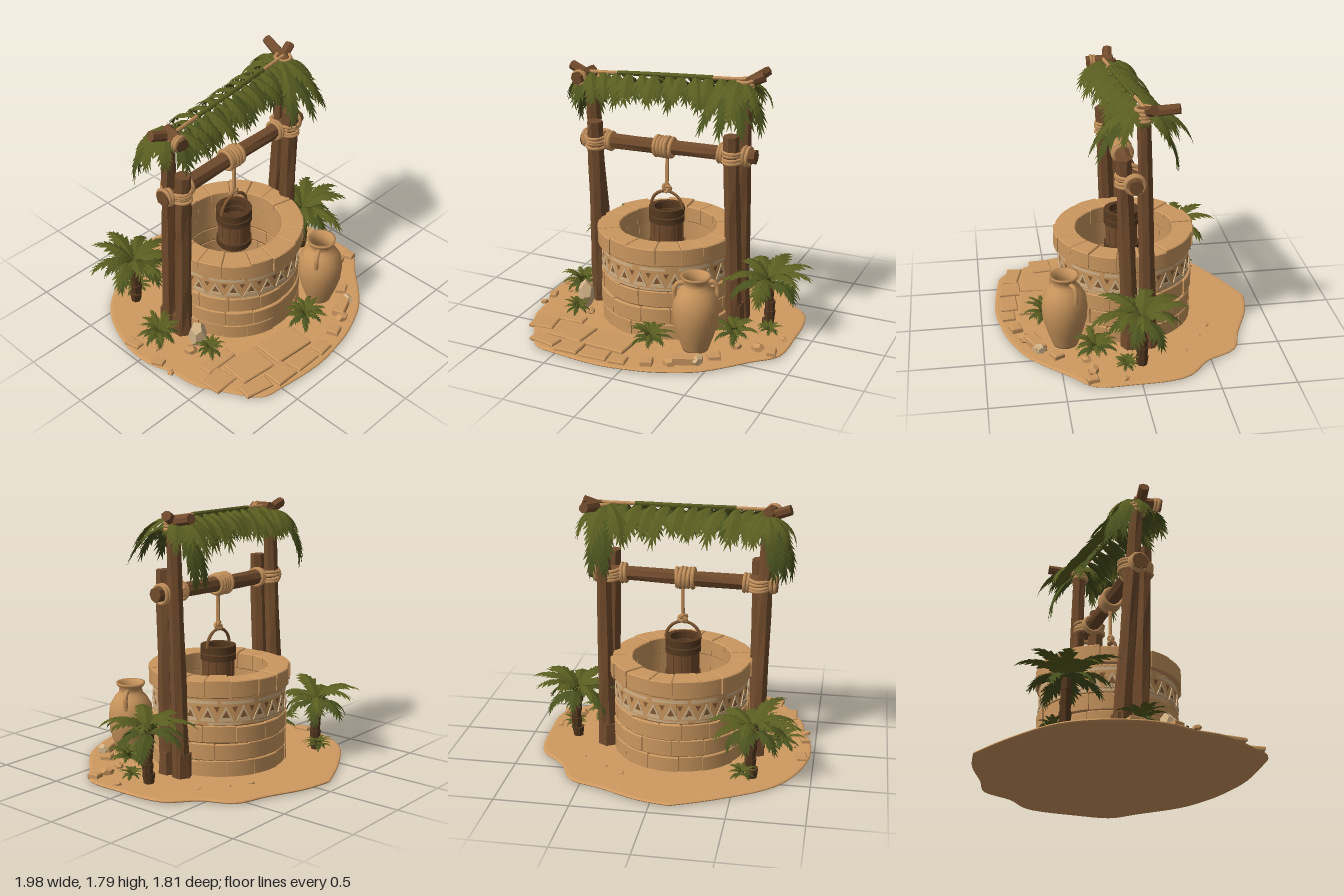
import * as THREE from 'three';
import { toCreasedNormals, mergeGeometries } from 'three/addons/utils/BufferGeometryUtils.js';

const mat = (name, color, side = THREE.FrontSide) => {
  const m = new THREE.MeshStandardMaterial({ color, side });
  m.name = name;
  return m;
};
const M = {
  sand: mat('sand', 0xd09a60), stone: mat('sandstone', 0xcb975f), pale: mat('pale stone', 0xd2b286),
  wood: mat('wood', 0x714b2c), dark: mat('dark wood', 0x54381f), rope: mat('rope', 0xc3905b),
  leaf: mat('leaf', 0x595d20, THREE.DoubleSide), deep: mat('deep leaf', 0x49521e, THREE.DoubleSide),
  clay: mat('clay', 0xc8945c), earth: mat('shaded stone', 0x845a34),
};
const V = (x, y, z) => new THREE.Vector3(x, y, z);
let seed = 7;
const rnd = (a = 0, b = 1) => {
  seed = (seed * 16807) % 2147483647;
  return a + (b - a) * seed / 2147483647;
};
const group = (parent, name, x = 0, y = 0, z = 0) => {
  const g = new THREE.Group();
  g.name = name;
  g.position.set(x, y, z);
  parent.add(g);
  return g;
};
const add = (parent, name, geo, m, x = 0, y = 0, z = 0) => {
  const mesh = new THREE.Mesh(geo, m);
  mesh.name = name;
  mesh.position.set(x, y, z);
  parent.add(mesh);
  return mesh;
};
const flat = g => {
  const f = g.toNonIndexed();
  f.computeVertexNormals();
  return f;
};

// Rough tapered log from a to b
function log(parent, name, a, b, ra, rb, m = M.wood, sides = 7) {
  const len = a.distanceTo(b), geo = new THREE.CylinderGeometry(rb, ra, len, sides, 5), p = geo.attributes.position;
  for (let i = 0; i < p.count; i++) {
    const x = p.getX(i), y = p.getY(i), z = p.getZ(i);
    const s = 1 + 0.06 * Math.sin(3 * Math.atan2(z, x) + y * 8 + a.x * 5);
    p.setXYZ(i, x * s, y, z * s);
  }
  const mesh = add(parent, name, flat(geo), m);
  mesh.position.copy(a).lerp(b, 0.5);
  mesh.quaternion.setFromUnitVectors(V(0, 1, 0), b.clone().sub(a).normalize());
}

// Bevelled curved block between two radii
function arcBlock(r0, r1, y0, y1, a0, a1, b) {
  const s = new THREE.Shape();
  s.absarc(0, 0, r1, a0, a1, false);
  s.absarc(0, 0, r0, a1, a0, true);
  const g = new THREE.ExtrudeGeometry(s, { depth: y1 - y0 - 2 * b, bevelThickness: b, bevelSize: b, bevelOffset: -b, bevelSegments: 1, curveSegments: 5 });
  return toCreasedNormals(g.rotateX(-Math.PI / 2).translate(0, y0 + b, 0), 0.4);
}
function course(parent, name, n, r0, r1, y0, y1, shift, m, jitter = 0.007, gap = 0.003, b = 0.006) {
  const cuts = Array.from({ length: n }, (_, i) => (i + shift + rnd(-0.15, 0.15)) * Math.PI * 2 / n);
  cuts.push(cuts[0] + Math.PI * 2);
  for (let i = 0; i < n; i++)
    add(parent, name, arcBlock(r0, r1 + rnd(-jitter, jitter), y0, y1 + rnd(-jitter, 0), cuts[i] + gap, cuts[i + 1] - gap, b), m);
}

// Serrated arching leaf: the spine starts at elevation rise and bends down
function frond(x, y, z, yaw, L, W, rise, bend, n = 9) {
  const dir = V(Math.cos(yaw), 0, Math.sin(yaw)), side = V(-Math.sin(yaw), 0, Math.cos(yaw));
  const spine = [V(x, y, z)], pos = [];
  for (let i = 0; i < n; i++) {
    const e = rise - bend * (i + 0.5) / n;
    spine.push(spine[i].clone().addScaledVector(dir, Math.cos(e) * L / n).add(V(0, Math.sin(e) * L / n, 0)));
  }
  for (let i = 0; i < n; i++) for (const s of [-1, 1]) {
    const w = W * (0.2 + Math.sin(Math.PI * Math.pow((i + 0.5) / n, 0.75))) * rnd(0.75, 1.2);
    const p0 = spine[i], p1 = spine[i + 1], step = p1.clone().sub(p0);
    const tip = p1.clone().addScaledVector(step, 0.9).addScaledVector(side, s * w).add(V(0, -0.4 * w, 0));
    const notch = p0.clone().addScaledVector(step, 0.35).addScaledVector(side, s * w * 0.62).add(V(0, -0.22 * w, 0));
    const tris = s > 0 ? [p0, tip, p1, p0, notch, tip] : [p0, p1, tip, p0, tip, notch];
    tris.forEach(v => pos.push(v.x, v.y, v.z));
  }
  const g = new THREE.BufferGeometry();
  g.setAttribute('position', new THREE.Float32BufferAttribute(pos, 3));
  g.computeVertexNormals();
  return g;
}
// Plant: an upper and a lower ring of leaves, with an optional trunk
function plant(parent, name, x, z, y, n, L, W, rise, trunk) {
  const g = group(parent, name, x, 0, z);
  if (trunk) for (let i = 0; i < 5; i++)
    add(g, 'trunkSegment', flat(new THREE.CylinderGeometry(0.044 - i * 0.003, 0.032, y / 5 + 0.012, 7)), M.dark, 0.012 * Math.sin(i), (i + 0.5) * y / 5 + 0.01, 0);
  [[n, M.leaf, 0], [Math.ceil(n * 0.6), M.deep, 1]].forEach(([k, m, j]) => {
    const leaves = [];
    for (let i = 0; i < k; i++)
      leaves.push(frond(0, y, 0, (i + j * 0.5 + rnd(-0.2, 0.2)) * Math.PI * 2 / k, L * rnd(0.88, 1.08) * (j ? 0.8 : 1), W, rise - j * 0.55 + rnd(-0.2, 0.2), rnd(1.5, 1.95)));
    add(g, 'leaves', mergeGeometries(leaves), m);
  });
}

// Coils of rope round an axis
function coils(parent, name, x, y, z, r, n, axis, tube = 0.013, stretch = 1) {
  const g = group(parent, name, x, y, z);
  for (let i = 0; i < n; i++) {
    const c = add(g, 'coil', new THREE.TorusGeometry(r + rnd(-0.003, 0.004), tube, 6, 18), M.rope, 0, 0, (i - (n - 1) / 2) * tube * 1.8);
    c.rotation.set(rnd(-0.07, 0.07), rnd(-0.07, 0.07), 0);
  }
  g.scale.y = stretch;
  if (axis === 'x') g.rotation.y = Math.PI / 2;
  if (axis === 'y') g.rotation.x = Math.PI / 2;
}
function rock(parent, name, x, z, w, h, d, m = M.stone) {
  const r = add(parent, name, new THREE.DodecahedronGeometry(1, 0), m, x, h * 0.5 + 0.005, z);
  r.scale.set(w, h * 0.5, d);
  r.rotation.y = rnd(0, 6);
}

export function createModel() {
  const root = new THREE.Group();
  root.name = 'desertWell';

  // Ground
  const outline = [[-0.13, -0.91], [0.09, -0.87], [0.35, -0.76], [0.57, -0.68], [0.68, -0.48], [0.83, -0.34], [0.88, -0.19], [0.89, 0.03], [0.88, 0.3], [0.73, 0.46], [0.49, 0.7], [0.25, 0.82], [0.06, 0.87], [-0.18, 0.9], [-0.5, 0.87], [-0.66, 0.83], [-0.77, 0.67], [-0.89, 0.45], [-0.92, 0.24], [-0.97, 0.08], [-0.97, -0.13], [-0.88, -0.4], [-0.72, -0.6], [-0.4, -0.79], [-0.13, -0.91]];
  const land = flip => new THREE.Shape(new THREE.SplineCurve(outline.map(([x, z]) => new THREE.Vector2(x, flip * z))).getPoints(96).slice(0, -1));
  const ground = new THREE.ExtrudeGeometry(land(-1), { depth: 0.004, bevelThickness: 0.008, bevelSize: 0.02, bevelOffset: -0.02, bevelSegments: 2 });
  add(root, 'ground', ground.rotateX(-Math.PI / 2), M.sand, 0, 0.009, 0);
  add(root, 'underside', new THREE.ShapeGeometry(land(1)).rotateX(Math.PI / 2), M.sand);

  // Paving slabs: x, z, width, depth, turn, thickness
  const paving = group(root, 'paving');
  for (const [x, z, w, d, t, h] of [[-0.76, 0.53, 0.18, 0.17, 0.1, 0.014], [-0.52, 0.58, 0.28, 0.23, -0.1, 0.016], [-0.21, 0.61, 0.32, 0.23, -0.08, 0.022], [-0.63, 0.75, 0.22, 0.12, -0.2, 0.016], [-0.43, 0.78, 0.18, 0.16, 0, 0.02], [-0.23, 0.8, 0.2, 0.13, 0.05, 0.016], [-0.64, 0.4, 0.26, 0.1, 0, 0.014], [0.35, 0.65, 0.2, 0.09, 0.4, 0.05], [0.13, 0.77, 0.1, 0.09, 0.3, 0.035], [0.5, 0.52, 0.1, 0.08, 0.5, 0.03], [0.82, 0.32, 0.07, 0.09, 0.2, 0.03], [-0.92, -0.13, 0.08, 0.12, 0.1, 0.02], [-0.92, 0.13, 0.07, 0.09, 0.3, 0.025], [-0.05, 0.81, 0.12, 0.1, 0.1, 0.02]]) {
    const c = [[-1, -1], [1, -1], [1, 1], [-1, 1]].map(([i, j]) => new THREE.Vector2(i * (w / 2 - rnd(0, 0.012)), j * (d / 2 - rnd(0, 0.012))));
    const g = new THREE.ExtrudeGeometry(new THREE.Shape(c), { depth: h, bevelThickness: 0.007, bevelSize: 0.007, bevelOffset: -0.007, bevelSegments: 1 });
    add(paving, 'slab', g.rotateX(-Math.PI / 2), M.stone, x, 0.015, z).rotation.y = t;
  }
  const rocks = group(root, 'rocks');
  rock(rocks, 'paleRock', -0.62, 0.19, 0.065, 0.23, 0.06, M.pale);
  rock(rocks, 'paleRock', 0.43, 0.63, 0.05, 0.08, 0.035, M.pale);
  for (const [x, z, s] of [[-0.7, 0.2, 0.05], [-0.55, 0.26, 0.04], [0.58, 0.33, 0.04], [0.72, 0.3, 0.05], [0.27, 0.72, 0.05], [0.83, 0.1, 0.03], [-0.93, 0.25, 0.03], [0.25, -0.55, 0.025], [0.38, -0.47, 0.02], [0.17, -0.53, 0.015], [0.42, -0.56, 0.015], [0.55, -0.35, 0.02], [-0.85, 0.02, 0.025]])
    rock(rocks, 'pebble', x, z, s, s * 1.3, s * 0.8);

  // Well ring, built in courses
  const well = group(root, 'well', -0.07, 0, -0.015);
  course(well, 'footStone', 15, 0.35, 0.462, 0.01, 0.13, 0, M.stone);
  course(well, 'wallStone', 14, 0.35, 0.465, 0.13, 0.25, 0.5, M.stone);
  course(well, 'wallStone', 15, 0.35, 0.465, 0.25, 0.37, 0.2, M.stone);
  course(well, 'friezeStone', 12, 0.35, 0.456, 0.37, 0.56, 0.1, M.stone, 0, 0.001, 0.003);
  course(well, 'rimStone', 17, 0.335, 0.483, 0.56, 0.685, 0.3, M.stone, 0.009);
  const core = [[0.355, 0.02], [0.45, 0.02], [0.45, 0.65], [0.355, 0.65], [0.355, 0.02]].map(p => new THREE.Vector2(...p));
  add(well, 'mortar', new THREE.LatheGeometry(core, 40), M.earth);
  add(well, 'wellFloor', new THREE.CircleGeometry(0.36, 32).rotateX(-Math.PI / 2), M.earth, 0, 0.1, 0);
  add(well, 'moss', new THREE.CircleGeometry(0.35, 12, 3.6, 1.1).rotateX(-Math.PI / 2), M.leaf, 0, 0.105, 0);

  // Worn painted frieze: broken stripes and hollow triangles
  for (const [y, h, n] of [[0.384, 0.014, 9], [0.528, 0.022, 11]]) for (let i = 0; i < n; i++)
    add(well, 'friezeStripe', new THREE.CylinderGeometry(0.46, 0.46, h, 8, 1, true, i * Math.PI * 2 / n, Math.PI * 2 / n * rnd(0.65, 0.98)), M.pale, 0, y, 0);
  const tri = k => [[-0.052 * k, -0.05 * k], [0.052 * k, -0.05 * k], [0, 0.054 * k]].map(p => new THREE.Vector2(...p));
  const frame = new THREE.Shape(tri(1));
  frame.holes.push(new THREE.Path(tri(0.5).reverse()));
  const frameGeo = new THREE.ExtrudeGeometry(frame, { depth: 0.008, bevelEnabled: false });
  const fillGeo = new THREE.ShapeGeometry(new THREE.Shape(tri(0.52)));
  const wedgeGeo = new THREE.ShapeGeometry(new THREE.Shape(tri(0.38)));
  for (let i = 0; i < 24; i++) {
    const t = group(well, 'friezeTriangle', 0, 0.45, 0);
    t.rotation.y = i * Math.PI / 12;
    add(t, 'triangleFrame', frameGeo, M.pale, 0, 0, 0.454);
    add(t, 'triangleCentre', fillGeo, M.earth, 0, 0, 0.458);
    const d = group(well, 'friezeWedge', 0, 0.48, 0);
    d.rotation.y = (i + 0.5) * Math.PI / 12;
    add(d, 'wedge', wedgeGeo, M.earth, 0, 0, 0.459).rotation.z = Math.PI;
  }

  // Posts, beam and end logs
  const timber = group(root, 'timberFrame');
  log(timber, 'leftShortPost', V(-0.595, 0.01, 0.015), V(-0.585, 1.37, 0.06), 0.058, 0.054);
  log(timber, 'leftTallPost', V(-0.6, 0.01, -0.11), V(-0.64, 1.7, 0), 0.06, 0.045);
  log(timber, 'rightShortPost', V(0.435, 0.01, 0.01), V(0.41, 1.39, 0.055), 0.06, 0.054);
  log(timber, 'rightTallPost', V(0.44, 0.01, -0.11), V(0.455, 1.74, -0.065), 0.06, 0.045);
  for (const x of [-0.595, 0.435]) for (const z of [0.01, -0.11])
    log(timber, 'postFoot', V(x, 0.01, z), V(x, 0.18, z), 0.07, 0.064, M.wood, 6);
  log(timber, 'crossBeam', V(-0.71, 1.215, -0.005), V(0.565, 1.25, -0.005), 0.056, 0.048, M.wood, 8);
  log(timber, 'leftTopLog', V(-0.665, 1.68, 0.16), V(-0.63, 1.7, -0.02), 0.045, 0.04);
  log(timber, 'leftTopStub', V(-0.78, 1.73, 0.0), V(-0.6, 1.66, 0.02), 0.035, 0.035);
  log(timber, 'rightTopLog', V(0.46, 1.71, -0.03), V(0.53, 1.755, -0.28), 0.038, 0.034);
  log(timber, 'rightTopStub', V(0.4, 1.69, -0.06), V(0.57, 1.765, -0.11), 0.033, 0.035);

  // Lashings
  for (const [x, y] of [[-0.59, 1.22], [0.415, 1.245]]) {
    coils(root, 'postLashing', x, y, 0, 0.07, 4, 'y', 0.012, 1.45);
    for (const s of [-1, 1]) coils(root, 'beamLashing', x + s * 0.088, y, -0.005, 0.058, 2, 'x');
  }
  coils(root, 'beamCoil', -0.09, 1.232, -0.005, 0.064, 5, 'x', 0.015);
  coils(root, 'leftTopLashing', -0.66, 1.68, 0.12, 0.045, 2, 'z', 0.011);
  coils(root, 'leftTopLashing', -0.63, 1.64, 0, 0.052, 3, 'y');
  coils(root, 'rightTopLashing', 0.455, 1.7, -0.065, 0.052, 4, 'y');

  // Bucket on its rope
  const bucket = group(root, 'bucket', -0.075, 0, 0);
  course(bucket, 'stave', 12, 0.088, 0.112, 0.5, 0.8, 0, M.wood, 0.002, 0.012, 0.004);
  add(bucket, 'bucketBase', new THREE.CylinderGeometry(0.1, 0.095, 0.03, 16), M.dark, 0, 0.52, 0);
  for (const [y, h] of [[0.54, 0.04], [0.73, 0.04], [0.785, 0.05]]) {
    const band = [[0.086, -1], [0.123, -1], [0.123, 1], [0.086, 1], [0.086, -1]].map(([r, s]) => new THREE.Vector2(r, y + s * h / 2));
    add(bucket, 'bucketBand', toCreasedNormals(new THREE.LatheGeometry(band, 20), 0.6), M.dark);
  }
  add(bucket, 'handle', new THREE.TorusGeometry(0.118, 0.011, 6, 20, Math.PI), M.earth, 0, 0.8, 0);
  log(bucket, 'hangingRope', V(0, 0.92, 0), V(0.005, 1.19, 0), 0.013, 0.013, M.rope);
  add(bucket, 'ropeKnot', new THREE.TorusKnotGeometry(0.02, 0.011, 32, 6), M.rope, 0, 0.94, 0);

  // Leaf canopy along the ridge
  const a = V(-0.64, 1.71, 0.05), b = V(0.46, 1.745, -0.065), canopy = group(root, 'canopy');
  log(canopy, 'ridgeRope', a, b, 0.012, 0.012, M.rope);
  log(canopy, 'ridgeStem', a.clone().lerp(b, 0.2), a.clone().lerp(b, 0.8), 0.016, 0.016, M.leaf);
  const upper = [], lower = [];
  for (let i = 0; i < 12; i++) {
    const p = a.clone().lerp(b, (i + 0.3) / 12);
    for (const s of [-1, 1]) {
      upper.push(frond(p.x, p.y, p.z, s * (Math.PI / 2 - 0.35) + rnd(-0.25, 0.25), s < 0 ? rnd(0.26, 0.34) : rnd(0.22, 0.28), 0.062, -0.05, rnd(1, 1.4), 7));
      lower.push(frond(p.x, p.y - 0.02, p.z, s * (Math.PI / 2 + 0.2) + rnd(-0.25, 0.25), rnd(0.18, 0.25), 0.058, -0.35, rnd(0.8, 1.1), 6));
    }
  }
  // Longer bunches at the ends of the ridge
  for (let i = 0; i < 9; i++) {
    const yaw = i * Math.PI * 2 / 9, across = Math.abs(Math.sin(yaw));
    upper.push(frond(0.42, 1.74, -0.06, yaw, 0.16 + 0.25 * across, 0.055, 0.05, 1.75 - 0.45 * across));
    if (i > 2) upper.push(frond(-0.63, 1.69, -0.03, yaw + 0.3, rnd(0.25, 0.31), 0.055, 0, rnd(1.4, 1.8)));
  }
  for (const t of [1.1, 1.6, 2.1]) lower.push(frond(0.41, 1.71, -0.04, t, 0.42, 0.058, -0.2, 1));
  for (const t of [-1.3, -1.7]) lower.push(frond(0.43, 1.69, -0.08, t, 0.45, 0.055, -0.5, 1.1));
  for (const t of [-2.6, -2.2, -1.8]) lower.push(frond(-0.66, 1.66, -0.06, t, 0.4, 0.055, -0.5, 1.2));
  add(canopy, 'upperLeaves', mergeGeometries(upper), M.leaf);
  add(canopy, 'lowerLeaves', mergeGeometries(lower), M.deep);

  // Palms and small plants
  plant(root, 'rightPalm', 0.67, -0.03, 0.355, 9, 0.37, 0.06, 1.12, true);
  plant(root, 'backLeftPalm', -0.61, -0.46, 0.36, 9, 0.35, 0.056, 1.12, true);
  for (const [x, z, L] of [[0.06, 0.56, 0.18], [-0.62, 0.31, 0.12], [0.54, 0.27, 0.19], [-0.77, -0.03, 0.18], [-0.55, -0.52, 0.12], [0.72, 0.08, 0.1]])
    plant(root, 'smallPlant', x, z, 0.03 + L * 0.3, 11, L, L * 0.14, 1.32, false);

  // Clay jar
  const jar = group(root, 'jar', 0.335, 0.02, 0.445);
  const profile = [[0, 0], [0.085, 0], [0.092, 0.02], [0.12, 0.1], [0.148, 0.2], [0.155, 0.29], [0.145, 0.37], [0.11, 0.43], [0.082, 0.46], [0.078, 0.49], [0.098, 0.515], [0.1, 0.53], [0.085, 0.53], [0.062, 0.49], [0.062, 0.44], [0.1, 0.38]];
  add(jar, 'jarBody', new THREE.LatheGeometry(profile.map(p => new THREE.Vector2(...p)), 28), M.clay);
  add(jar, 'jarInside', new THREE.CircleGeometry(0.1, 20).rotateX(-Math.PI / 2), M.earth, 0, 0.4, 0);
  for (const s of [-1, 1]) {
    const path = new THREE.CatmullRomCurve3([V(s * 0.08, 0.48, 0), V(s * 0.115, 0.48, 0), V(s * 0.14, 0.44, 0), V(s * 0.137, 0.36, 0)]);
    add(jar, 'jarHandle', new THREE.TubeGeometry(path, 12, 0.016, 7), M.clay).rotation.y = 0.5;
  }
  return root;
}
